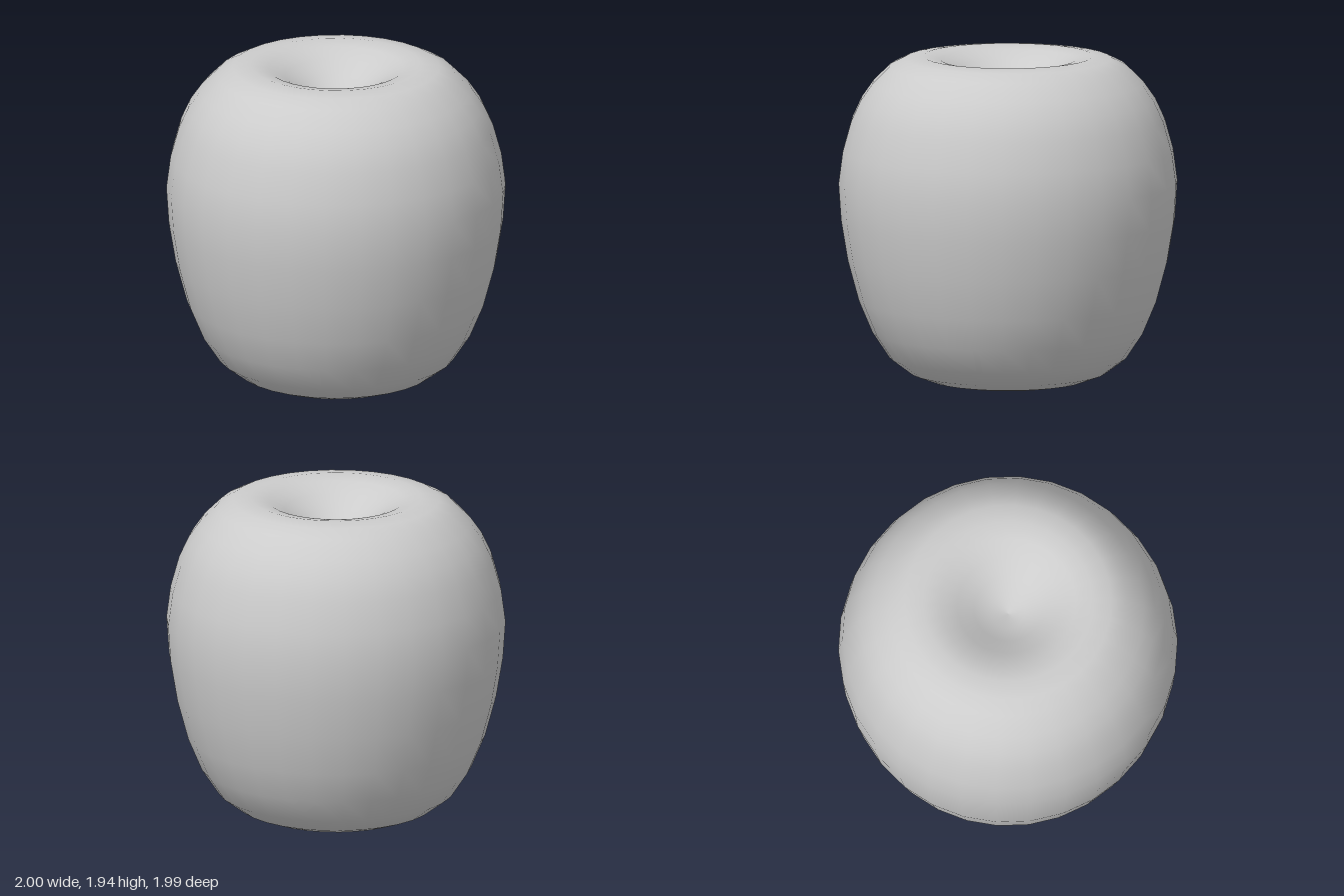
import * as THREE from 'three';

export function createModel() {
  const group = new THREE.Group();
  group.name = 'apple';

  // Half profile (radius, height), from the bottom hollow up to the stem hollow
  const profile = [
    [0, 0.09], [0.1, 0.08], [0.2, 0.045], [0.3, 0.01], [0.38, 0], [0.46, 0.015],
    [0.58, 0.06], [0.7, 0.15], [0.8, 0.3], [0.88, 0.49], [0.945, 0.73],
    [0.985, 0.97], [1, 1.19], [0.975, 1.38], [0.925, 1.56], [0.87, 1.68],
    [0.8, 1.78], [0.7, 1.88], [0.61, 1.925], [0.5, 1.94], [0.4, 1.92],
    [0.3, 1.87], [0.2, 1.805], [0.1, 1.75], [0, 1.73],
  ].map(([r, y]) => new THREE.Vector2(r, y));

  // Fruit body turned so that a vertex column lies on the x axis
  const geometry = new THREE.LatheGeometry(profile, 30);
  geometry.rotateY(Math.PI / 2);
  const body = new THREE.Mesh(geometry, new THREE.MeshStandardMaterial({ color: 0xcccccc }));
  body.name = 'fruitBody';
  group.add(body);
  return group;
}
